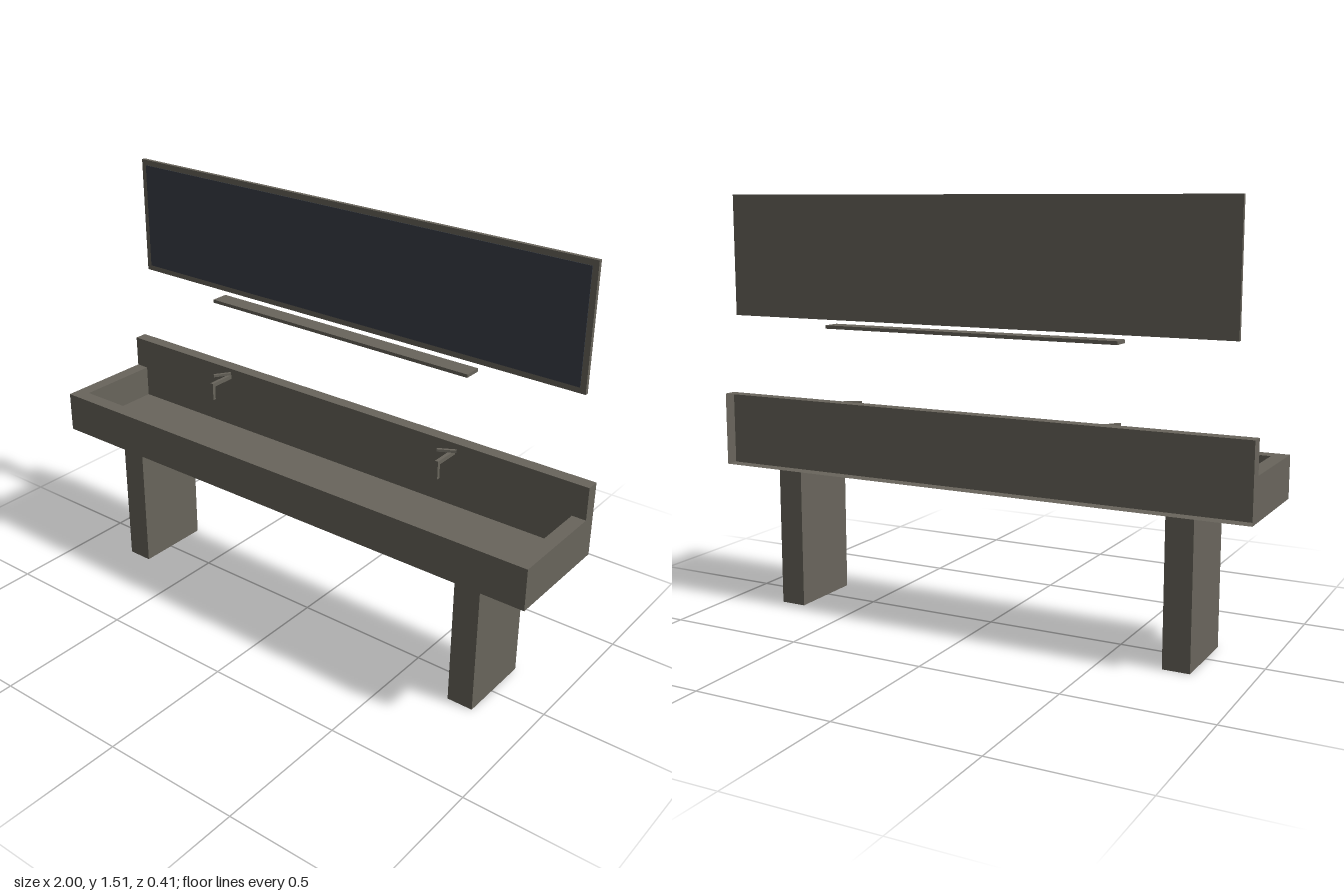
import * as THREE from 'three';

const stone = new THREE.MeshStandardMaterial({ color: 0x69655c, side: THREE.DoubleSide });
stone.name = 'warm grey stone';
const glass = new THREE.MeshStandardMaterial({ color: 0x3a3f48 });
glass.name = 'dark mirror glass';

// Box from its extents; omit is the index of a face left open (3 = bottom, 5 = back)
function box(parent, name, [x0, x1], [y0, y1], [z0, z1], material = stone, omit = -1) {
  const geometry = new THREE.BoxGeometry(x1 - x0, y1 - y0, z1 - z0);
  if (omit >= 0) {
    const index = Array.from(geometry.index.array);
    index.splice(omit * 6, 6);
    geometry.setIndex(index);
    geometry.clearGroups();
  }
  const mesh = new THREE.Mesh(geometry, material);
  mesh.name = name;
  mesh.position.set((x0 + x1) / 2, (y0 + y1) / 2, (z0 + z1) / 2);
  parent.add(mesh);
  return mesh;
}

function group(parent, name) {
  const g = new THREE.Group();
  g.name = name;
  parent.add(g);
  return g;
}

export function createModel() {
  const model = new THREE.Group();
  model.name = 'doubleWashstand';

  // Trough basin with a front rim, two end rims and a sunken floor
  const basin = group(model, 'basin');
  const back = -0.16, front = 0.207;
  box(basin, 'basinFloor', [-0.95, 0.95], [0.52, 0.55], [back, 0.155]);
  box(basin, 'frontRim', [-1, 1], [0.52, 0.668], [0.155, front]);
  box(basin, 'rightRim', [-1, -0.95], [0.52, 0.668], [back, 0.155]);
  box(basin, 'leftRim', [0.95, 1], [0.52, 0.668], [back, 0.155]);

  // Splashback, a shell open towards the wall
  box(basin, 'splashback', [-1, 1], [0.52, 0.785], [-0.207, back], stone, 5);

  // Slab legs, open underneath
  box(model, 'rightLeg', [-0.8, -0.705], [0, 0.52], [-0.157, 0.128], stone, 3);
  box(model, 'leftLeg', [0.705, 0.8], [0, 0.52], [-0.157, 0.128], stone, 3);

  // Taps with a bent spout and a turned lever
  for (const [name, x, angle] of [['rightTap', -0.5, 0.98], ['leftTap', 0.5, 0.5]]) {
    const tap = group(model, name);
    tap.position.x = x;
    box(tap, 'spoutArm', [-0.006, 0.006], [0.745, 0.76], [back, -0.055]);
    box(tap, 'spoutOutlet', [-0.006, 0.006], [0.693, 0.745], [-0.068, -0.055]);
    const lever = box(tap, 'lever', [-0.033, 0.033], [0.771, 0.78], [-0.12, -0.11]);
    lever.rotation.y = angle;
  }

  // Wall shelf
  box(model, 'shelf', [-0.55, 0.55], [1.046, 1.058], [-0.2, -0.135]);

  // Mirror with a narrow frame
  const mirror = group(model, 'mirror');
  box(mirror, 'mirrorFrame', [-0.94, 0.94], [1.078, 1.51], [-0.203, -0.189]);
  box(mirror, 'mirrorGlass', [-0.92, 0.92], [1.098, 1.49], [-0.19, -0.187], glass);

  return model;
}
